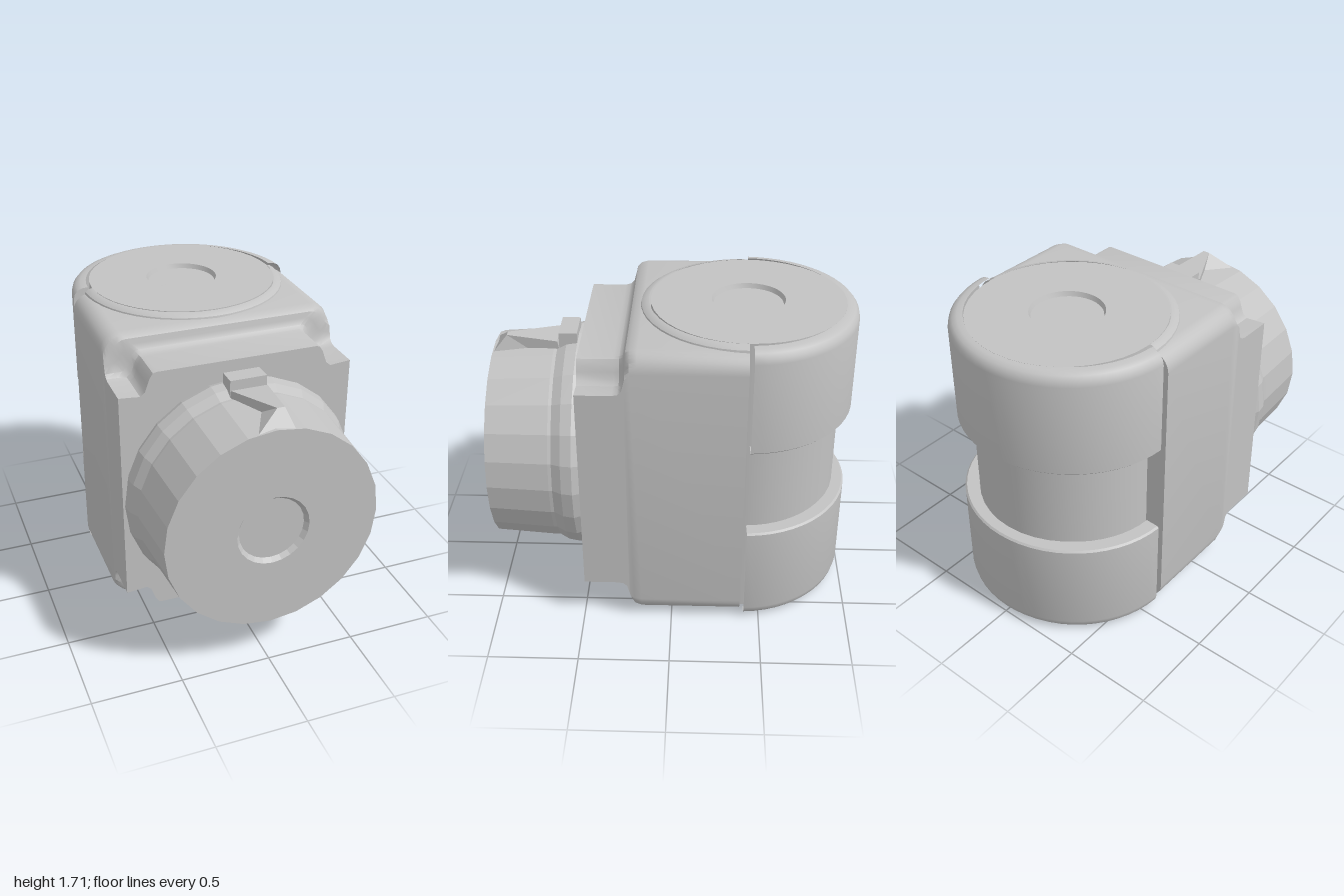
import * as THREE from 'three';
import { toCreasedNormals } from 'three/addons/utils/BufferGeometryUtils.js';

const MID = 0.86; // mid height of the housing
const V = (x, y) => new THREE.Vector2(x, y);

// Mirror a quarter outline (side to top) into a full counter-clockwise loop.
function fullOutline(q) {
  const r = [...q].reverse();
  return [
    ...q,
    ...r.map(([x, y]) => [-x, y]),
    ...q.map(([x, y]) => [-x, -y]),
    ...r.map(([x, y]) => [x, -y]),
  ];
}

// Skin matching outlines along z and close both ends.
function loft(sections) {
  const n = sections[0].pts.length;
  const pos = [], idx = [];
  for (const s of sections) for (const [x, y] of s.pts) pos.push(x, y, s.z);
  for (let i = 0; i < sections.length - 1; i++) {
    for (let j = 0; j < n; j++) {
      const k = (j + 1) % n, a = i * n + j, b = i * n + k;
      idx.push(a, b, b + n, a, b + n, a + n);
    }
  }
  const back = pos.length / 3, last = (sections.length - 1) * n;
  pos.push(0, 0, sections[0].z, 0, 0, sections.at(-1).z);
  for (let j = 0; j < n; j++) {
    const k = (j + 1) % n;
    idx.push(back, k, j, back + 1, last + j, last + k);
  }
  const g = new THREE.BufferGeometry();
  g.setAttribute('position', new THREE.Float32BufferAttribute(pos, 3));
  g.setIndex(idx);
  return g;
}

export function createModel() {
  const model = new THREE.Group();
  model.name = 'jointModule';
  const grey = new THREE.MeshStandardMaterial({ color: 0xc2c2c2, side: THREE.DoubleSide });
  grey.name = 'light grey';

  const add = (name, geometry, crease = 0.6) => {
    const mesh = new THREE.Mesh(toCreasedNormals(geometry, crease), grey);
    mesh.name = name;
    model.add(mesh);
    return mesh;
  };

  // Housing: rounded block blending into a front flange with notched corners
  const block = Array.from({ length: 8 }, (_, i) => {
    const a = (i / 7) * Math.PI / 2;
    return [0.545 + 0.1 * Math.cos(a), 0.73 + 0.1 * Math.sin(a)];
  });
  const flange = [[0.645, 0.61], [0.58, 0.605], [0.53, 0.6], [0.505, 0.62],
    [0.49, 0.66], [0.48, 0.69], [0.46, 0.72], [0.44, 0.725]];
  const stations = [[-0.39, 0], [0.17, 0], [0.21, 0.07], [0.232, 0.22],
    [0.24, 0.5], [0.25, 0.8], [0.27, 0.95], [0.3, 1], [0.49, 1]];
  const housing = loft(stations.map(([z, t]) => ({
    z,
    pts: fullOutline(block.map(([x, y], i) => [
      x + (flange[i][0] - x) * t,
      y + (flange[i][1] - y) * t,
    ])),
  })));
  add('housing', housing).position.y = MID;

  // Vertical pivot core with a shallow recess in each end
  const core = [V(0, 0.03), V(0.19, 0.03), V(0.2, 0.002), V(0.53, 0.002),
    V(0.53, 1.716), V(0.2, 1.716), V(0.19, 1.69), V(0, 1.69)];
  add('pivotCore', new THREE.LatheGeometry(core, 40)).position.z = -0.4;

  // Upper and lower pivot parts, mirrored about the mid height
  const capProfile = [V(0.53, 0.26), V(0.6, 0.26), V(0.61, 0.27), V(0.61, 0.79),
    V(0.603, 0.82), V(0.585, 0.842), V(0.56, 0.853), V(0.53, 0.856)];
  const rimProfile = [V(0.575, 0.82), V(0.57, 0.838), V(0.55, 0.852), V(0.53, 0.856)];
  const flip = (profile, s) => {
    const p = profile.map((v) => V(v.x, s * v.y));
    return s > 0 ? p : p.reverse();
  };
  for (const [label, s] of [['upper', 1], ['lower', -1]]) {
    // Half-round back cap, separated from the housing by a narrow gap
    const cap = new THREE.LatheGeometry(flip(capProfile, s), 28, Math.PI / 2 + 0.04, Math.PI - 0.08);
    cap.scale(1.04, 1, 1);
    add(label + 'BackCap', cap).position.set(0, MID, -0.39);
    // Rounded rim where the core meets the housing
    const rim = new THREE.LatheGeometry(flip(rimProfile, s), 24, -Math.PI / 2, Math.PI);
    add(label + 'Rim', rim).position.set(0, MID, -0.39);
  }

  // Front dial: faceted collar and tapered knob with a shallow centre recess
  const collar = [V(0.56, 0.47), V(0.63, 0.49), V(0.645, 0.53), V(0.635, 0.59), V(0.605, 0.645), V(0.5, 0.645)];
  const knob = [V(0.605, 0.62), V(0.608, 0.66), V(0.585, 1), V(0.2, 1), V(0.18, 0.975), V(0, 0.975)];
  for (const [name, profile] of [['dialCollar', collar], ['dialKnob', knob]]) {
    const g = new THREE.LatheGeometry(profile, 24);
    g.rotateX(Math.PI / 2);
    add(name, g, 0.1).position.y = 0.85;
  }

  // Pointer ridge on top of the knob, narrowing toward the front
  const side = new THREE.Shape([V(0.6, 1.3), V(0.995, 1.3), V(0.995, 1.42), V(0.92, 1.51), V(0.64, 1.49)]);
  const ridge = new THREE.ExtrudeGeometry(side, { depth: 0.2, bevelEnabled: false });
  ridge.translate(0, 0, -0.1).rotateY(-Math.PI / 2);
  const p = ridge.attributes.position;
  for (let i = 0; i < p.count; i++) {
    if (p.getY(i) > 1.5) p.setX(i, 0.05 + 0.2 * p.getX(i));
  }
  add('pointerRidge', ridge, 0.1);

  // Index blocks above and below the collar
  for (const [name, y] of [['topIndex', 1.48], ['bottomIndex', 0.25]]) {
    add(name, new THREE.BoxGeometry(0.2, 0.12, 0.1)).position.set(0, y, 0.58);
  }

  return model;
}
